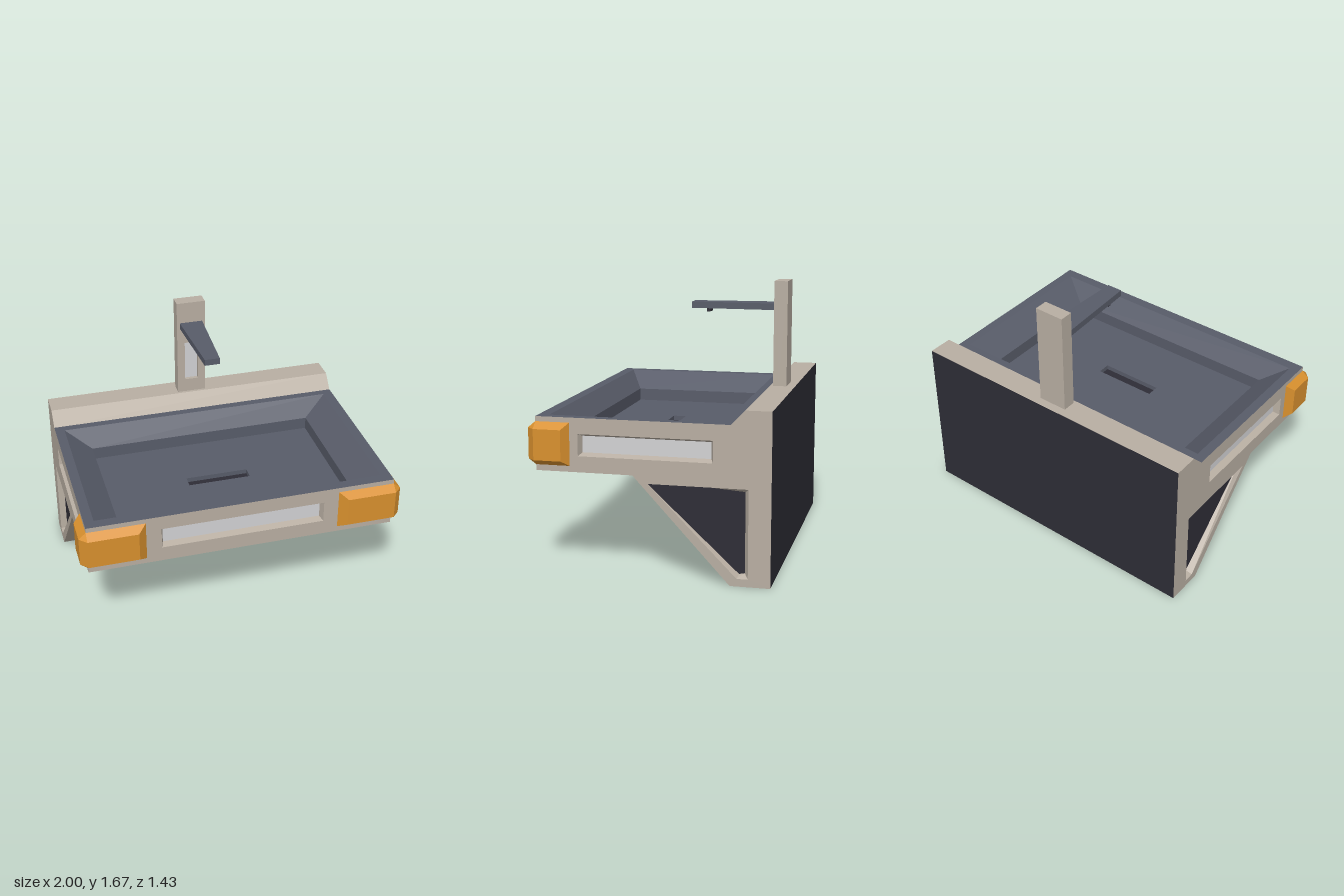
import * as THREE from 'three';
import { ConvexGeometry } from 'three/addons/geometries/ConvexGeometry.js';

const material = (name, color) => new THREE.MeshStandardMaterial({ name, color });
const V2 = (x, y) => new THREE.Vector2(x, y);
const V3 = (x, y, z) => new THREE.Vector3(x, y, z);
const poly = (list) => {
  const pts = list.map(([x, y]) => V2(x, y));
  return THREE.ShapeUtils.isClockWise(pts) ? pts.reverse() : pts;
};
const rect = (x0, y0, x1, y1) => poly([[x0, y0], [x1, y0], [x1, y1], [x0, y1]]);

// Shrink a convex counter-clockwise polygon by k on every edge
function inset(pts, k) {
  const n = pts.length;
  return pts.map((p, i) => {
    const d0 = p.clone().sub(pts[(i + n - 1) % n]).normalize();
    const d1 = pts[(i + 1) % n].clone().sub(p).normalize();
    const n0 = V2(-d0.y, d0.x), n1 = V2(-d1.y, d1.x);
    return p.clone().addScaledVector(n0.add(n1), k / (1 + n0.dot(n1) / 1 - d0.dot(d0) + d0.dot(d1)));
  });
}

export function createModel() {
  const model = new THREE.Group();
  model.name = 'washbasin';
  const beige = material('warm beige', 0xb8aea2);
  const slate = material('slate grey', 0x585c69);
  const orange = material('amber orange', 0xd8902e);
  const dark = material('charcoal', 0x2e2d36);
  const light = material('pale grey', 0xd2d2d4);

  const add = (name, geometry, mat, x = 0, y = 0, z = 0, parent = model) => {
    const mesh = new THREE.Mesh(geometry, mat);
    mesh.name = name;
    mesh.position.set(x, y, z);
    parent.add(mesh);
    return mesh;
  };

  // Flat panel in the plane origin + a*u + b*v, with stepped or bevelled recesses.
  // A recess is { rings: [[points, depth], ...], wall, floor, holes }
  function panel(name, mat, origin, u, v, outline, recesses = []) {
    const normal = u.clone().cross(v).normalize();
    const at = (p, depth) => origin.clone().addScaledVector(u, p.x)
      .addScaledVector(v, p.y).addScaledVector(normal, -depth);
    const flat = (label, m, pts, holes, depth) => {
      const shape = new THREE.Shape(pts);
      shape.holes = holes.map((h) => new THREE.Path(h));
      const g = new THREE.ShapeGeometry(shape);
      const pos = g.attributes.position;
      for (let i = 0; i < pos.count; i++) {
        const q = at(V2(pos.getX(i), pos.getY(i)), depth);
        pos.setXYZ(i, q.x, q.y, q.z);
      }
      g.computeVertexNormals();
      add(label, g, m);
    };
    flat(name, mat, outline, recesses.map((r) => r.rings[0][0]), 0);
    for (const { rings, wall, floor, holes = [] } of recesses) {
      const corners = [];
      for (let k = 0; k + 1 < rings.length; k++) {
        const [a, da] = rings[k], [b, db] = rings[k + 1];
        a.forEach((p, i) => {
          const j = (i + 1) % a.length;
          const A = at(p, da), B = at(a[j], da), C = at(b[j], db), D = at(b[i], db);
          corners.push(A, B, C, A, C, D);
        });
      }
      const g = new THREE.BufferGeometry().setFromPoints(corners);
      g.computeVertexNormals();
      add(name + ' recess wall', g, wall);
      const [last, depth] = rings[rings.length - 1];
      flat(name + ' recess floor', floor, last, holes, depth);
    }
  }
  const bevelled = (pts, k, depth, floor) =>
    ({ rings: [[pts, 0], [inset(pts, k), depth]], wall: beige, floor });

  const W = 0.955, FRONT = 0.67, BACK = -0.715;
  const X = V3(1, 0, 0), Y = V3(0, 1, 0), Z = V3(0, 0, 1), backward = V3(0, 0, -1);

  // Side panels with a long light and a triangular recess in the bracket
  const profile = [[BACK, 0], [-0.48, 0], [0.09, 0.615], [FRONT, 0.615], [FRONT, 0.935],
    [-0.48, 0.935], [-0.56, 1.02], [BACK, 1.02]];
  const triangle = [[0, 0.57], [-0.585, 0.57], [-0.585, 0.045], [-0.52, 0.045]];
  const sideLight = [[0.415, 0.71], [0.415, 0.84], [-0.38, 0.84], [-0.38, 0.71]];
  for (const s of [1, -1]) {
    const flip = (pts) => poly(pts.map(([z, y]) => [-s * z, y]));
    panel(s > 0 ? 'left side' : 'right side', beige, V3(s * W, 0, 0), V3(0, 0, -s), Y, flip(profile), [
      bevelled(flip(sideLight), 0.016, 0.04, light),
      bevelled(flip(triangle), 0.024, 0.04, dark),
    ]);
  }

  // Front apron with its light
  panel('front apron', beige, V3(0, 0, FRONT), X, Y, rect(-W, 0.615, W, 0.935),
    [bevelled(rect(-0.507, 0.71, 0.507, 0.845), 0.014, 0.04, light)]);

  // Sloping bracket face with three recesses between diagonal ribs
  const corner = (s) => poly([[s * 0.815, 0.51], [s * 0.28, 0.51], [s * 0.815, 0.14]]);
  panel('bracket face', beige, V3(0, 0, -0.48), X, V3(0, 1, 0.57 / 0.615), rect(-W, 0, W, 0.615), [
    bevelled(poly([[-0.77, 0.105], [0.77, 0.105], [0.19, 0.51], [-0.19, 0.51]]), 0.01, 0.03, dark),
    bevelled(corner(1), 0.01, 0.03, dark),
    bevelled(corner(-1), 0.01, 0.03, dark),
  ]);

  // Undersides, back, ledge and its sloping front
  panel('basin underside', beige, V3(0, 0.615, 0), X, Z, rect(-W, 0.09, W, FRONT));
  panel('bracket underside', beige, V3(0, 0, 0), X, Z, rect(-W, BACK, W, -0.48));
  panel('back plate', dark, V3(0, 0, BACK), V3(-1, 0, 0), Y, rect(-W, 0, W, 1.02));
  panel('ledge top', beige, V3(0, 1.02, 0), X, backward, rect(-W, 0.56, W, -BACK));
  panel('ledge slope', beige, V3(0, 0.935, -0.48), X, V3(0, 0.085, -0.08), rect(-W, 0, W, 1));

  // Deck and basin: sloping funnel, short upright wall, floor with a drain slot
  const bowl = rect(-0.735, -0.51, 0.735, 0.335);
  const slot = rect(-0.2, -0.13, 0.2, -0.05);
  panel('basin deck', slate, V3(0, 0.935, 0), X, backward, rect(-W, -FRONT, W, 0.48), [{
    rings: [[rect(-0.895, -0.605, 0.895, 0.43), 0], [bowl, 0.11], [bowl, 0.19]],
    wall: slate, floor: slate, holes: [slot],
  }]);
  panel('drain', dark, V3(0, 0.745, 0), X, backward, slot,
    [{ rings: [[slot, 0], [slot, 0.03]], wall: slate, floor: dark }]);

  // Chamfered corner bumpers, wrapped around the front corners
  for (const s of [1, -1]) {
    const bumper = new THREE.Group();
    bumper.name = s > 0 ? 'left bumper' : 'right bumper';
    const hull = (base, outer) => new ConvexGeometry([
      ...base.flatMap(([x, z]) => [V3(s * x, 0.65, z), V3(s * x, 0.905, z)]),
      ...outer.flatMap(([x, z]) => [V3(s * x, 0.683, z), V3(s * x, 0.867, z)]),
    ]);
    add('bumper front', hull([[0.6, FRONT], [W, FRONT]], [[0.65, 0.715], [W, 0.715], [1, FRONT]]),
      orange, 0, 0, 0, bumper);
    add('bumper side', hull([[W, FRONT], [W, 0.465]], [[1, FRONT], [1, 0.505]]),
      orange, 0, 0, 0, bumper);
    model.add(bumper);
  }

  // Tap column with a recessed light
  const columnFace = new THREE.Shape(rect(-0.094, 1.02, 0.094, 1.67));
  columnFace.holes.push(new THREE.Path(rect(-0.044, 1.11, 0.044, 1.383)));
  add('tap column front', new THREE.ExtrudeGeometry(columnFace, { depth: 0.03, bevelEnabled: false }),
    beige, 0, 0, -0.608);
  add('tap column', new THREE.BoxGeometry(0.188, 0.65, 0.054), beige, 0, 1.345, -0.635);
  add('tap light', new THREE.BoxGeometry(0.088, 0.273, 0.006), light, 0, 1.2465, -0.606);

  // Tapered spout and nozzle
  const spout = new THREE.Shape(poly([[-0.075, 0.578], [0.075, 0.578], [0.048, 0.05], [-0.048, 0.05]]));
  const spoutGeometry = new THREE.ExtrudeGeometry(spout, { depth: 0.04, bevelEnabled: false });
  spoutGeometry.rotateX(-Math.PI / 2);
  add('spout', spoutGeometry, slate, 0, 1.49, 0);
  add('nozzle', new THREE.BoxGeometry(0.08, 0.022, 0.022), dark, 0, 1.48, -0.155);

  return model;
}
